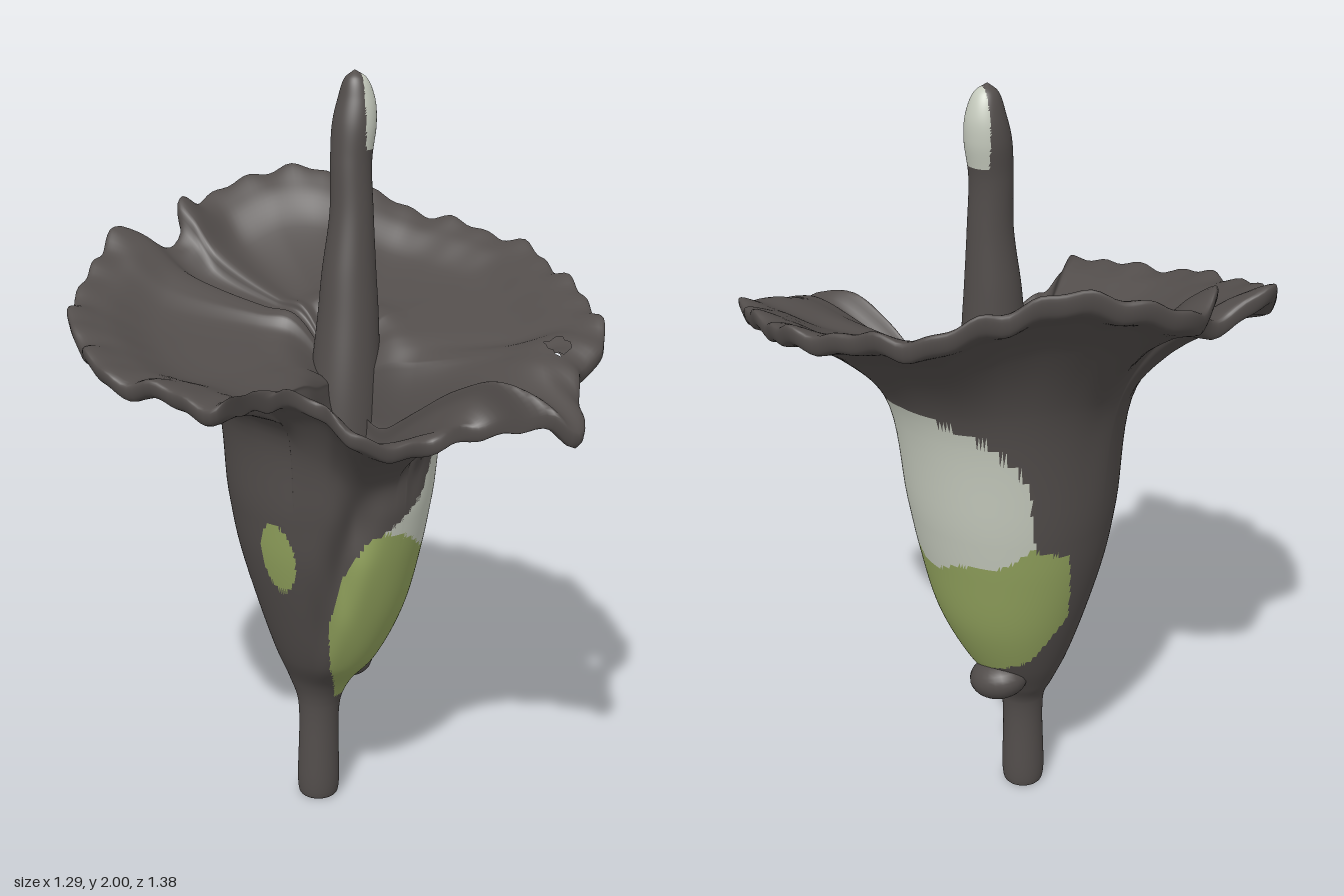
import * as THREE from 'three';

const dark = new THREE.MeshStandardMaterial({ color: 0x524d4b, side: THREE.DoubleSide });
dark.name = 'charcoal';
const green = new THREE.MeshStandardMaterial({ color: 0x93a45e });
green.name = 'leaf green';
const pale = new THREE.MeshStandardMaterial({ color: 0xc6cbbe });
pale.name = 'pale grey';
const materials = [dark, green, pale];

const { lerp: mix, radToDeg, smoothstep } = THREE.MathUtils;

// Piecewise linear lookup in [key, value] pairs
function lookup(table, key) {
  for (let i = 1; i < table.length; i++) {
    const [k0, v0] = table[i - 1], [k1, v1] = table[i];
    if (key <= k1) return mix(v0, v1, Math.max(0, (key - k0) / (k1 - k0)));
  }
  return table[table.length - 1][1];
}

// Skin over columns of points; paint(centre, row) picks a material, or -1 for a hole
function skin(name, columns, paint) {
  const n = columns.length, rows = columns[0].length;
  const points = columns.flat(), lists = [[], [], []], c = new THREE.Vector3();
  const addFace = (row, ...corners) => {
    c.set(0, 0, 0);
    for (const k of corners) c.addScaledVector(points[k], 1 / 3);
    const m = paint(c, row);
    if (m >= 0) lists[m].push(...corners);
  };
  for (let j = 0; j < n; j++) {
    for (let i = 0; i < rows - 1; i++) {
      const a = j * rows + i, b = ((j + 1) % n) * rows + i;
      addFace(i, a, a + 1, b);
      addFace(i, b, a + 1, b + 1);
    }
  }
  const geometry = new THREE.BufferGeometry().setFromPoints(points);
  geometry.setIndex(lists.flat());
  let start = 0;
  lists.forEach((list, m) => {
    if (list.length) geometry.addGroup(start, list.length, m);
    start += list.length;
  });
  geometry.computeVertexNormals();
  const mesh = new THREE.Mesh(geometry, materials);
  mesh.name = name;
  return mesh;
}

// Ruffled rim, clockwise from the back: x, y, z
const rimPoints = [
  [0, 1.59, -0.69], [0.17, 1.66, -0.66], [0.3, 1.66, -0.56], [0.38, 1.62, -0.49],
  [0.5, 1.56, -0.39], [0.58, 1.53, -0.22], [0.64, 1.5, -0.05], [0.61, 1.46, 0.15],
  [0.56, 1.42, 0.34], [0.47, 1.36, 0.5], [0.36, 1.31, 0.54], [0.26, 1.23, 0.685],
  [0.18, 1.26, 0.62], [0.14, 1.23, 0.52], [0.09, 1.2, 0.47], [0.05, 1.17, 0.4],
  [-0.12, 1.17, 0.38], [-0.19, 1.24, 0.34], [-0.2, 1.26, 0.27], [-0.26, 1.28, 0.24],
  [-0.38, 1.31, 0.28], [-0.52, 1.32, 0.36], [-0.57, 1.33, 0.19], [-0.64, 1.34, 0.06],
  [-0.62, 1.39, -0.2], [-0.56, 1.42, -0.36], [-0.48, 1.45, -0.45], [-0.32, 1.55, -0.59],
  [-0.22, 1.5, -0.56], [-0.15, 1.52, -0.56], [-0.13, 1.6, -0.61],
];

// Stem and cup cross-sections: y, centre x, centre z, radius x, radius z
const cupRows = [
  [0.008, 0, -0.075, 0.001, 0.001], [0, 0, -0.075, 0.05, 0.05], [0.02, 0, -0.075, 0.057, 0.057],
  [0.29, 0.003, -0.075, 0.059, 0.059], [0.36, 0.01, -0.08, 0.085, 0.09],
  [0.45, 0.02, -0.065, 0.135, 0.15], [0.6, 0.03, -0.058, 0.195, 0.212],
  [0.78, 0.026, -0.055, 0.242, 0.26], [0.92, 0.027, -0.055, 0.268, 0.282],
];

// Height where the cup starts to flare, by height of the rim
const neckHeights = [[1.16, 1.01], [1.25, 1.07], [1.33, 1.18], [1.5, 1.25], [1.67, 1.28]];

const STEPS = 8;
const OUTER_ROWS = (cupRows.length + 3) * STEPS;

// One strip of the spathe: up the stem and cup, over the rim and down the throat
function spatheColumn(rim, u) {
  const a = Math.atan2(rim.x - 0.03, rim.z + 0.05);
  const sin = Math.sin(a), cos = Math.cos(a);
  const points = cupRows.map(([y, cx, cz, rx, rz]) => {
    // Overlap crease down the front of the cup
    const fold = mix(-0.75, -0.3, smoothstep(y, 0.5, 0.95));
    const depth = 0.13 * smoothstep(y, 0.4, 0.9);
    const k = 1 - depth * Math.exp(-(((a - fold) / 0.16) ** 2));
    return new THREE.Vector3(cx + rx * k * sin, y, cz + rz * k * cos);
  });
  const neckY = lookup(neckHeights, rim.y);
  const back = (neckY - 1.01) / 0.27;
  const neckR = mix(0.28, 0.33, back);
  const neck = new THREE.Vector3(0.03 + neckR * sin, neckY, -0.05 + neckR * cos);
  const ruffle = 0.008 * Math.sin(u * Math.PI * 38) + 0.007 * Math.sin(u * Math.PI * 74 + 1);
  const lip = 0.065 * smoothstep(rim.z, 0.42, 0.6);
  const flare = (t, s, lift) => new THREE.Vector3(
    mix(neck.x, rim.x, t), mix(neck.y, rim.y, s) + lift, mix(neck.z, rim.z, t));
  points.push(neck, flare(0.38, 0.52, lip), flare(0.75, 0.8, lip));
  points.push(flare(0.97 + ruffle, 0.95, ruffle - 0.015), flare(0.99 + ruffle, 1, ruffle + 0.015));
  points.push(flare(0.75, 0.84, lip + 0.035), flare(0.38, 0.58, lip + 0.035));
  const throat = [[0.22, neckY + mix(0.06, 0.14, back)], [0.13, neckY + mix(0.04, 0.13, back)],
    [0.02, mix(neckY, 1.25, 0.5)]];
  for (const [r, y] of throat)
    points.push(new THREE.Vector3(0.045 + r * sin, y, -0.04 + r * cos));
  const strip = new THREE.CatmullRomCurve3(points).getPoints((points.length - 1) * STEPS);
  // Deep pocket in the throat in front of the spadix
  strip.forEach((p, i) => {
    if (i > OUTER_ROWS + 2 * STEPS)
      p.y -= 0.22 * Math.exp(-((p.x + 0.01) ** 2 + (p.z - 0.13) ** 2) / 0.004);
  });
  return strip;
}

// Angular limits of the painted side, by height
const patchStart = [[0.33, -22], [0.45, -32], [0.6, -33], [0.75, -24], [0.86, -10], [0.9, 6],
  [0.96, 24], [1.1, 38], [1.2, 64], [1.24, 78], [1.255, 95]];
const patchEnd = [[0.33, 60], [0.42, 85], [0.46, 130], [0.5, 160], [0.65, 184], [0.86, 176],
  [0.89, 157], [1.1, 152], [1.2, 134], [1.24, 116], [1.255, 98]];

function paintSpathe(p, row) {
  if (p.x > 0.34 && p.x < 0.39 && p.z > 0.425 && p.z < 0.48) return -1;
  if (row > OUTER_ROWS || p.y < 0.325) return 0;
  let a = radToDeg(Math.atan2(p.x - 0.03, p.z + 0.055));
  // Two small leaf-coloured spots on the front and right
  if (Math.hypot((p.x - 0.125) / 0.034, (p.y - 1.14) / 0.032) < 1 && p.z > 0) return 1;
  if (Math.hypot((a + 64) / 12, (p.y - 0.8) / 0.1) < 1) return 1;
  if (a < -120) a += 360;
  if (p.y > 1.255 || a < lookup(patchStart, p.y) || a > lookup(patchEnd, p.y)) return 0;
  const split = 0.785 + 0.12 * ((a - 75) / 85) ** 2 + 0.012 * Math.sin(a / 8);
  return p.y < split ? 1 : 2;
}

// Spadix cross-sections: y, centre x, centre z, radius
const spadixRows = [
  [1, 0.05, -0.03, 0.1], [1.2, 0.06, -0.035, 0.092], [1.4, 0.075, -0.045, 0.078],
  [1.5, 0.08, -0.05, 0.07], [1.65, 0.09, -0.055, 0.056], [1.78, 0.093, -0.063, 0.053],
  [1.87, 0.105, -0.068, 0.056], [1.93, 0.112, -0.07, 0.047], [1.98, 0.11, -0.07, 0.028],
  [2, 0.107, -0.07, 0.001],
];

export function createModel() {
  const group = new THREE.Group();
  group.name = 'flower';

  const rimCurve = new THREE.CatmullRomCurve3(
    rimPoints.map((p) => new THREE.Vector3(...p)), true);
  const count = 260, columns = [];
  for (let j = 0; j < count; j++) columns.push(spatheColumn(rimCurve.getPointAt(j / count), j / count));
  group.add(skin('spatheAndStem', columns, paintSpathe));

  // Finger-like spadix with a pale patch on one side of the tip
  const spadix = [];
  for (let j = 0; j < 64; j++) {
    const a = Math.PI - (j / 64) * Math.PI * 2;
    const points = spadixRows.map(([y, cx, cz, r]) =>
      new THREE.Vector3(cx + r * Math.sin(a), y, cz + r * Math.cos(a)));
    spadix.push(new THREE.CatmullRomCurve3(points).getPoints(90));
  }
  const paintTip = (p) => (p.y > 1.81 && p.x > 0.12 - 0.25 * (p.z + 0.07) ? 2 : 0);
  group.add(skin('spadix', spadix, paintTip));

  // Small bud at the base of the cup
  const bud = new THREE.Mesh(new THREE.SphereGeometry(1, 24, 16), dark);
  bud.name = 'bud';
  bud.scale.set(0.075, 0.058, 0.088);
  bud.position.set(0.108, 0.402, -0.108);
  bud.rotation.x = 0.35;
  group.add(bud);

  return group;
}
